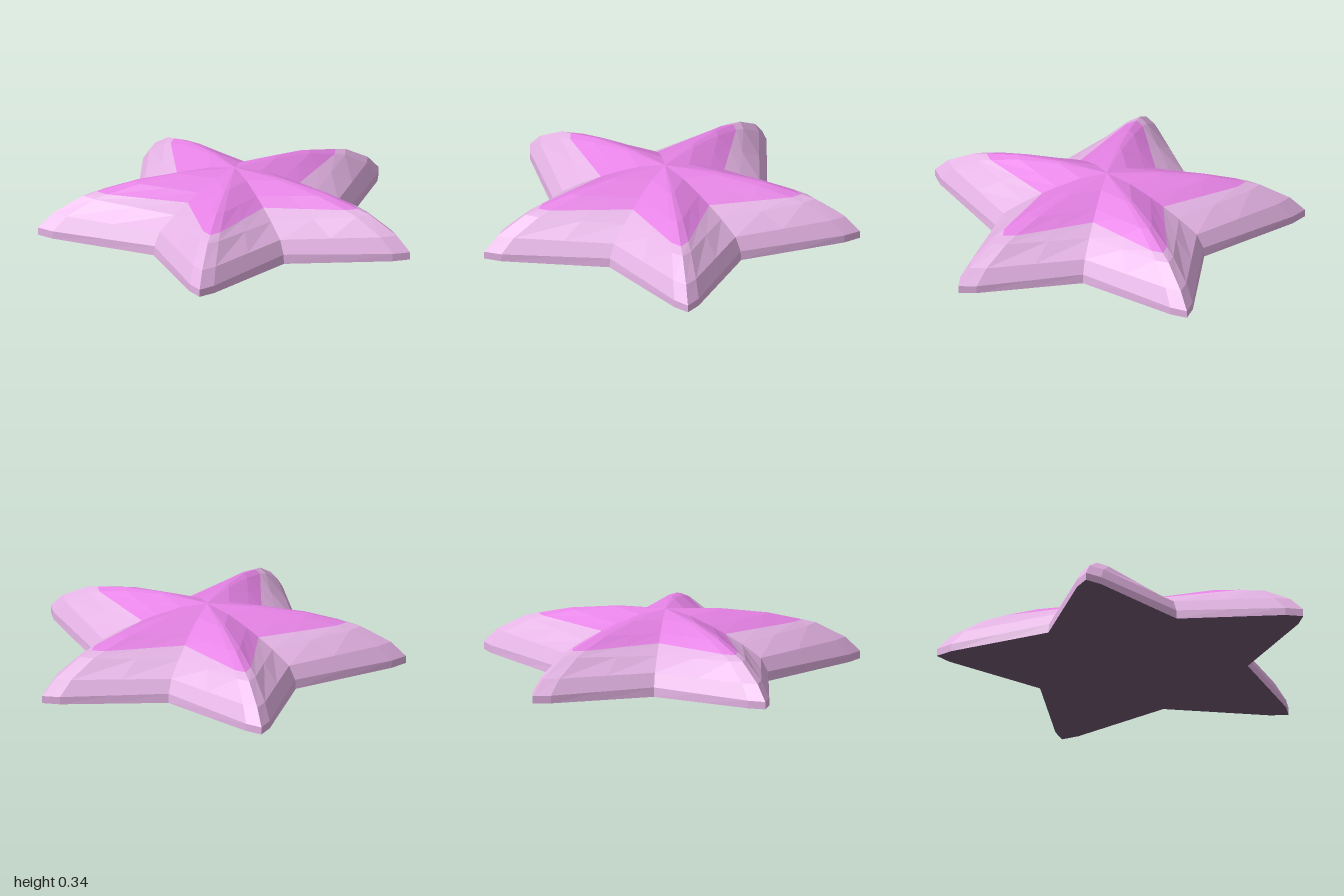
import * as THREE from 'three';

const ARMS = 5;
const CENTRE_X = 0.1;

// Rings from the rim inwards: ridge radius, ridge height, valley radius, valley height
const RINGS = [
  [1.05, 0.02, 0.595, 0.01],
  [1.05, 0.06, 0.59, 0.06],
  [0.97, 0.14, 0.55, 0.13],
  [0.81, 0.228, 0.44, 0.195],
  [0.735, 0.248, 0.345, 0.24],
  [0.55, 0.295, 0.265, 0.275],
  [0.3, 0.33, 0.14, 0.32],
];
const PATCH_RING = 4; // the bright patch starts at this ring
const TOP = 0.345;

// One star-shaped ring: valley, flank, shoulder, tip, shoulder, flank for each arm
function starRing([ridge, ridgeY, valley, valleyY]) {
  const half = Math.PI / ARMS;
  const v = [valley * Math.cos(half), valley * Math.sin(half), valleyY];
  const s = [ridge * 0.933, ridge * 0.062, THREE.MathUtils.lerp(ridgeY, valleyY, 0.12)];
  const f = v.map((n, i) => (n + s[i]) / 2);
  const mirror = ([u, w, y]) => [u, -w, y];
  const arm = [mirror(v), mirror(f), mirror(s), [ridge, 0, ridgeY], s, f];
  const points = [];
  for (let k = 0; k < ARMS; k++) {
    const a = Math.PI + k * 2 * half;
    const c = Math.cos(a), n = Math.sin(a);
    for (const [u, w, y] of arm) points.push([CENTRE_X + u * c - w * n, y, u * n + w * c]);
  }
  return points;
}

// Faceted mesh from shared corner points
function facetedMesh(name, points, index, material) {
  const indexed = new THREE.BufferGeometry();
  indexed.setAttribute('position', new THREE.Float32BufferAttribute(points.flat(), 3));
  indexed.setIndex(index);
  const geometry = indexed.toNonIndexed();
  geometry.computeVertexNormals();
  const mesh = new THREE.Mesh(geometry, material);
  mesh.name = name;
  return mesh;
}

function namedMaterial(name, color) {
  const material = new THREE.MeshStandardMaterial({ color });
  material.name = name;
  return material;
}

export function createModel() {
  const paleSkin = namedMaterial('pale pink skin', 0xe4b3e4);
  const brightPatch = namedMaterial('bright pink patch', 0xe582e5);
  const darkBelly = namedMaterial('dark mauve underside', 0x735a75);

  const rings = RINGS.map(starRing);
  const count = rings[0].length;
  const points = [...rings.flat(), [CENTRE_X, TOP, 0], [CENTRE_X, 0, 0]];
  const top = points.length - 2, bottom = points.length - 1;
  const skin = [], patch = [], belly = [];

  for (let j = 0; j < count; j++) {
    const next = (j + 1) % count;
    // Shallow underside
    belly.push(bottom, j, next);
    // Sides and domed arms
    for (let i = 0; i < rings.length - 1; i++) {
      const a = i * count + j, b = i * count + next;
      const c = a + count, d = b + count;
      (i < PATCH_RING ? skin : patch).push(c, b, a, c, d, b);
    }
    // Crown of the dome
    const last = (rings.length - 1) * count;
    patch.push(top, last + next, last + j);
  }

  const group = new THREE.Group();
  group.name = 'starfish';
  group.add(
    facetedMesh('arms', points, skin, paleSkin),
    facetedMesh('centrePatch', points, patch, brightPatch),
    facetedMesh('underside', points, belly, darkBelly),
  );
  return group;
}
